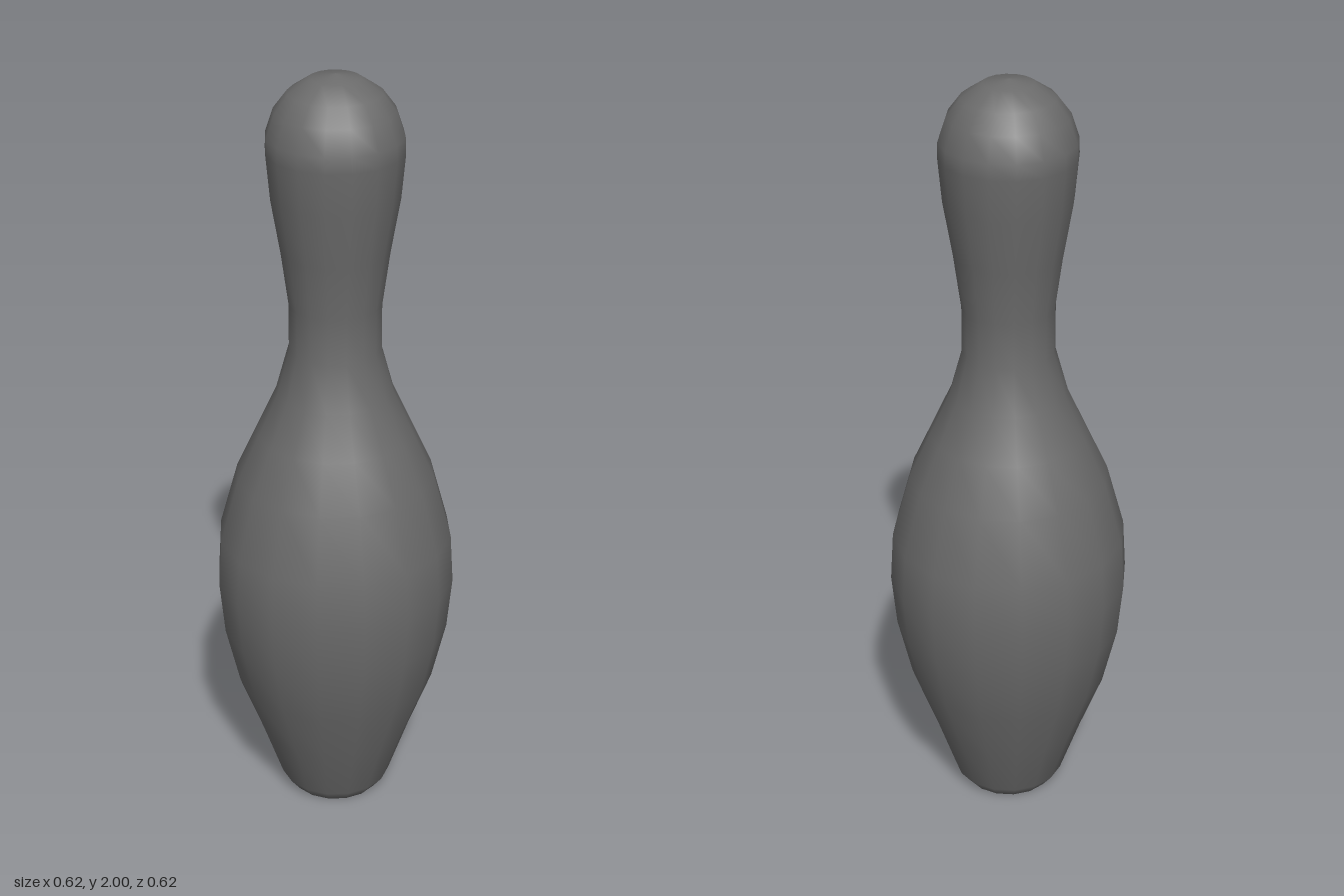
import * as THREE from 'three';

export function createModel() {
  const group = new THREE.Group();
  group.name = 'bowlingPin';

  const grey = new THREE.MeshStandardMaterial({ color: 0x6b6b6b });
  grey.name = 'dark grey';

  // Half profile from the centre of the base to the crown: [radius, height]
  const profile = [
    [0, 0], [0.12, 0], [0.147, 0.035],           // base and its bevel
    [0.2, 0.19], [0.26, 0.35], [0.297, 0.51],    // lower belly
    [0.31, 0.65], [0.302, 0.78], [0.255, 0.95],  // widest part
    [0.2, 1.07], [0.15, 1.18], [0.117, 1.3],     // shoulder
    [0.117, 1.42], [0.136, 1.56], [0.16, 1.7],   // neck
    [0.17, 1.81], [0.169, 1.85], [0.149, 1.91],  // head
    [0.115, 1.955], [0.062, 1.99], [0, 2],       // crown
  ].map(([r, y]) => new THREE.Vector2(r, y));

  // Smooth turned body with sixteen sides
  const pin = new THREE.Mesh(new THREE.LatheGeometry(profile, 16), grey);
  pin.name = 'pinBody';
  group.add(pin);

  return group;
}
